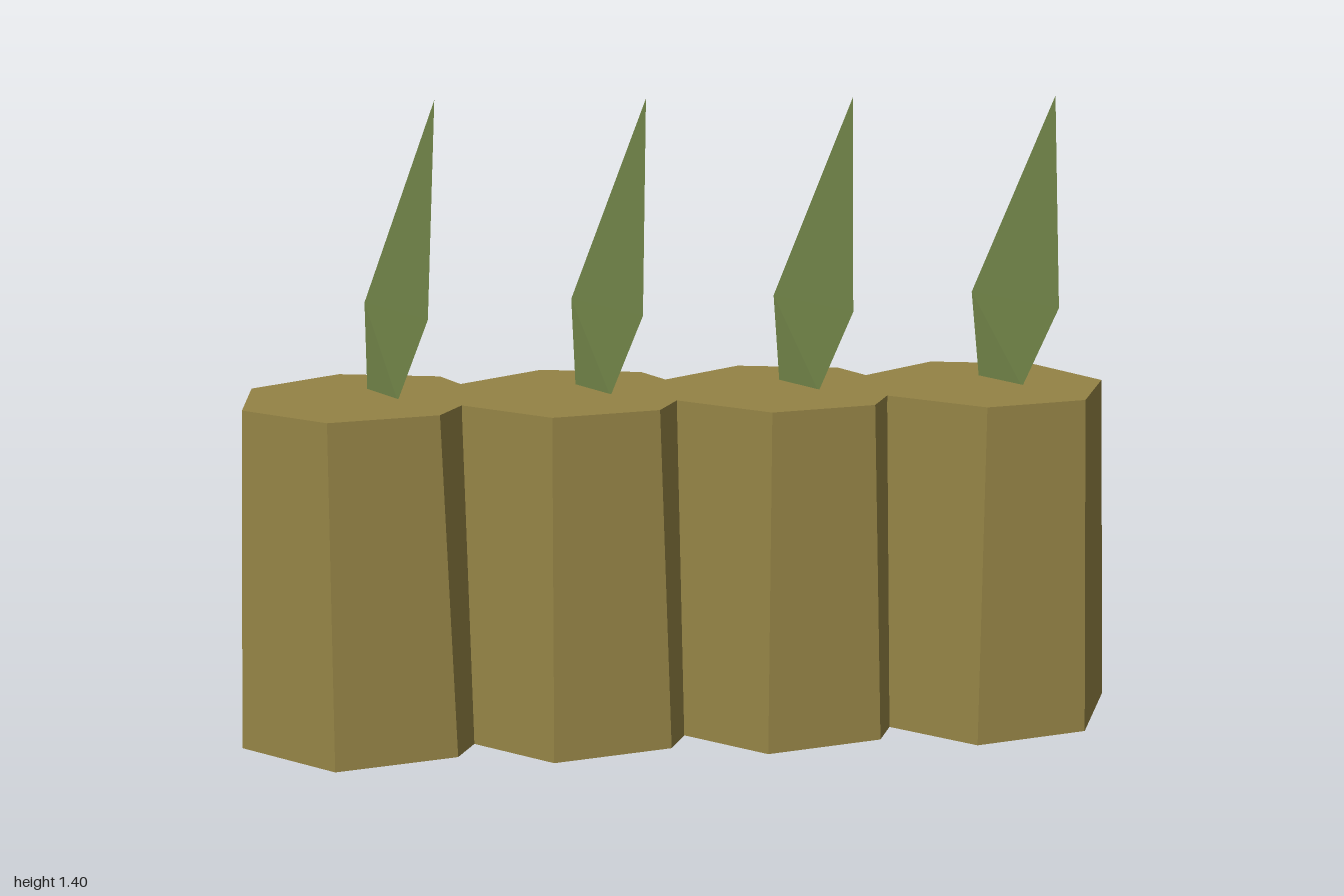
import * as THREE from 'three';

const HEIGHT = 0.76;
const SPACING = 0.47;
const FIRST_X = -0.72;

// Flat, tilted leaf blade: narrow base, wide shoulder, long pointed tip
function leafGeometry() {
  const outline = [
    [0.08, HEIGHT - 0.005, 0.035],
    [0.151, 0.94, 0.063],
    [0.176, 1.403, -0.11],
    [0.007, 0.945, -0.163],
    [0.01, HEIGHT - 0.005, -0.085],
  ];
  const geometry = new THREE.BufferGeometry();
  geometry.setAttribute('position', new THREE.Float32BufferAttribute(outline.flat(), 3));
  geometry.setIndex([0, 1, 3, 1, 2, 3, 0, 3, 4]);
  const flat = geometry.toNonIndexed();
  flat.computeVertexNormals();
  return flat;
}

export function createModel() {
  const model = new THREE.Group();
  model.name = 'stumpRow';

  const bark = new THREE.MeshStandardMaterial({ color: 0x948345, flatShading: true });
  bark.name = 'olive wood';
  const green = new THREE.MeshStandardMaterial({ color: 0x6b7d44, flatShading: true, side: THREE.DoubleSide });
  green.name = 'leaf green';

  // Seven-sided tapered stump with one corner pointing to +x
  const stumpShape = new THREE.CylinderGeometry(0.277, 0.311, HEIGHT, 7, 1, false, Math.PI / 2);
  stumpShape.translate(0, HEIGHT / 2, 0);
  const leafShape = leafGeometry();

  // Row of overlapping stumps, each with one leaf
  for (let i = 0; i < 4; i++) {
    const unit = new THREE.Group();
    unit.name = `stumpWithLeaf${i + 1}`;
    unit.position.x = FIRST_X + i * SPACING;

    const stump = new THREE.Mesh(stumpShape, bark);
    stump.name = 'stump';
    const leaf = new THREE.Mesh(leafShape, green);
    leaf.name = 'leaf';

    unit.add(stump, leaf);
    model.add(unit);
  }
  return model;
}
